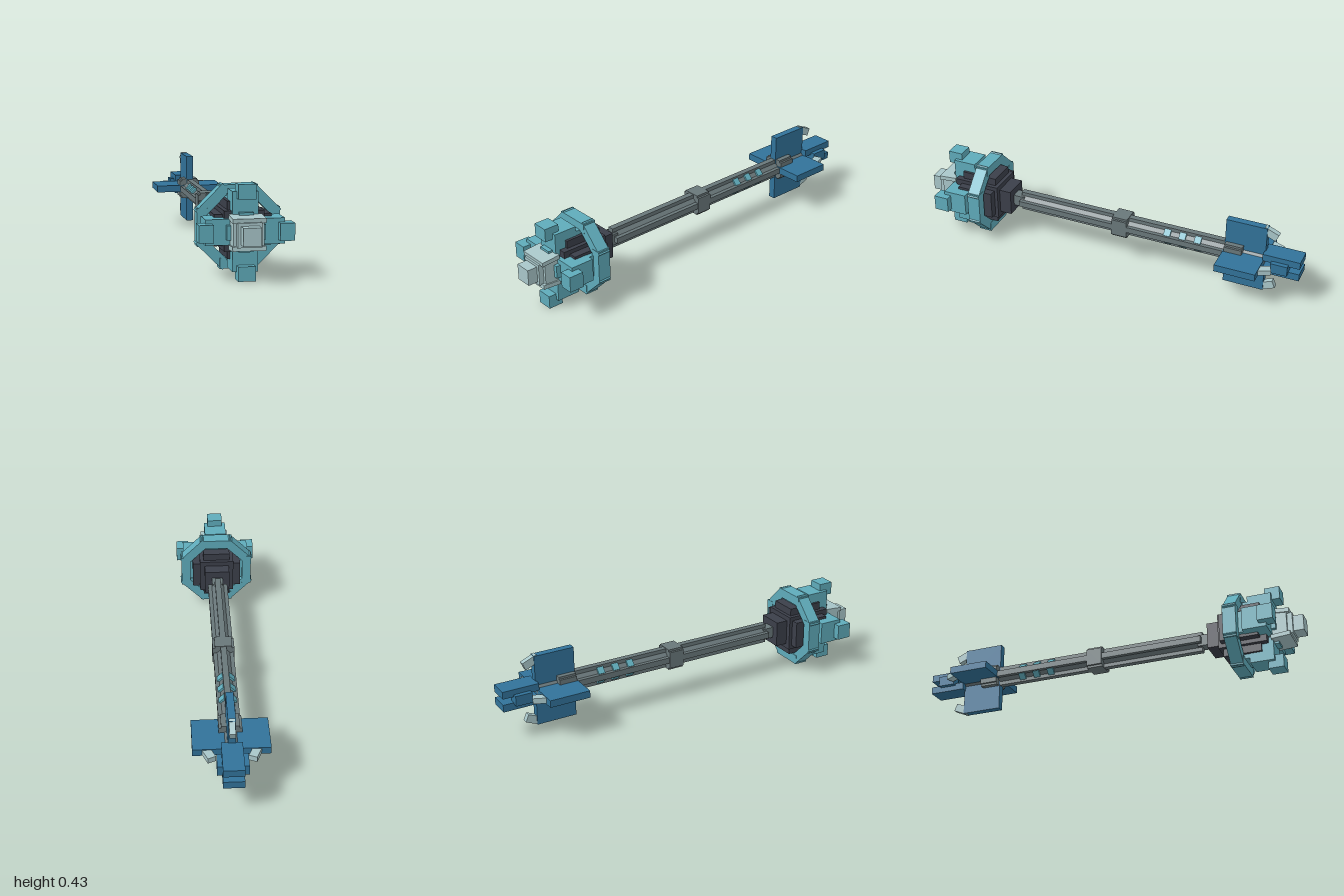
import * as THREE from 'three';

export function createModel() {
  const model = new THREE.Group();
  model.name = 'mechanicalSceptre';
  const axis = new THREE.Group(); // everything is built around the long axis
  axis.name = 'body';
  axis.position.y = 0.2125;
  model.add(axis);

  const material = (name, color) => {
    const m = new THREE.MeshStandardMaterial({ color });
    m.name = name;
    return m;
  };
  const teal = material('teal', 0x5fabba);
  const dark = material('charcoal', 0x3b3f4a);
  const pale = material('paleGrey', 0xa8c6c9);
  const grey = material('steelGrey', 0x69777a);
  const blue = material('deepBlue', 0x317299);

  // Box given by its [min, max] range along each axis
  function box(name, mat, x, y, z, parent = axis) {
    const mesh = new THREE.Mesh(
      new THREE.BoxGeometry(x[1] - x[0], y[1] - y[0], z[1] - z[0]), mat);
    mesh.position.set((x[0] + x[1]) / 2, (y[0] + y[1]) / 2, (z[0] + z[1]) / 2);
    mesh.name = name;
    parent.add(mesh);
    return mesh;
  }
  const sym = (h) => [-h, h];

  // Groups turned about the long axis
  function around(name, count, build, offset = 0) {
    for (let i = 0; i < count; i++) {
      const g = new THREE.Group();
      g.name = name;
      g.rotation.z = offset + (i * Math.PI * 2) / count;
      axis.add(g);
      build(g, i);
    }
  }

  // Shaft: diamond core with four ridges
  const core = box('shaftCore', grey, sym(0.033), sym(0.033), [-0.82, 0.49]);
  core.rotation.z = Math.PI / 4;
  box('shaftConnector', grey, sym(0.029), sym(0.029), [0.47, 0.55]);
  around('shaftSide', 4, (g) => {
    box('shaftRidge', grey, sym(0.015), [0.02, 0.051], [-0.63, 0.49], g);
    box('middleCollar', grey, sym(0.043), [0.015, 0.054], [-0.11, -0.03], g);
    box('rearCollar', grey, sym(0.043), [0.015, 0.054], [-0.71, -0.62], g);
  });

  // Small lights set in the diagonal grooves
  around('shaftLights', 4, (g) => {
    for (const z of [-0.32, -0.4, -0.48]) {
      box('shaftLight', teal, sym(0.018), [0.028, 0.043], [z - 0.017, z + 0.017], g);
    }
  }, Math.PI / 4);

  // Tail fins with leaning pale studs at their rear edge
  around('tailFin', 4, (g, i) => {
    box('finPlate', blue, sym(0.018), [0.01, 0.179], [-0.82, -0.615], g);
    const r = i % 2 ? 0.107 : 0.15;
    const stud = box('finStud', pale, sym(0.014), [r - 0.02, r + 0.02], [-0.873, -0.795], g);
    stud.rotation.x = -0.4;
  });

  // Tail block: long upper and lower plates, short side plates
  for (const s of [-1, 1]) {
    const plate = box('tailPlate', blue, sym(0.049), sym(0.0185), [-1, -0.815]);
    plate.position.y = s * 0.0335;
    const side = box('tailSidePlate', blue, sym(0.026), sym(0.026), [-0.945, -0.86]);
    side.position.x = s * 0.046;
  }

  // Dark head core
  box('neck', dark, sym(0.065), sym(0.065), [0.53, 0.62]);
  box('headCore', dark, sym(0.09), sym(0.09), [0.592, 0.83]);
  box('headUpright', dark, sym(0.07), sym(0.128), [0.61, 0.797]);
  box('headCrossbar', dark, sym(0.128), sym(0.07), [0.609, 0.798]);

  // Octagonal ring
  around('ringSide', 8, (g, i) => {
    const d = i % 2 ? 0.031 : 0.033;
    box('ringBar', teal, sym(0.086), [0.141, 0.189], [0.678 - d, 0.678 + d], g);
  });

  // Four claws
  around('claw', 4, (g) => {
    box('clawStrut', teal, sym(0.055), [0.1, 0.15], [0.66, 0.76], g);
    box('clawArm', teal, sym(0.057), [0.06, 0.177], [0.735, 0.853], g);
    box('clawTip', teal, sym(0.039), [0.147, 0.2125], [0.818, 0.893], g);
    box('clawNub', teal, sym(0.032), [0.04, 0.087], [0.8, 0.875], g);
  });

  // Pale nose
  box('noseBlock', pale, sym(0.054), sym(0.054), [0.82, 0.95]);
  box('noseTip', pale, sym(0.04), sym(0.04), [0.94, 1]);
  for (const s of [-1, 1]) {
    const cap = box('noseCap', pale, sym(0.074), sym(0.0105), [0.845, 0.94]);
    cap.position.y = s * 0.0635;
    cap.rotation.x = s * 0.08;
    const cheek = box('noseCheek', pale, sym(0.007), sym(0.054), [0.845, 0.925]);
    cheek.position.x = s * 0.061;
  }

  return model;
}
